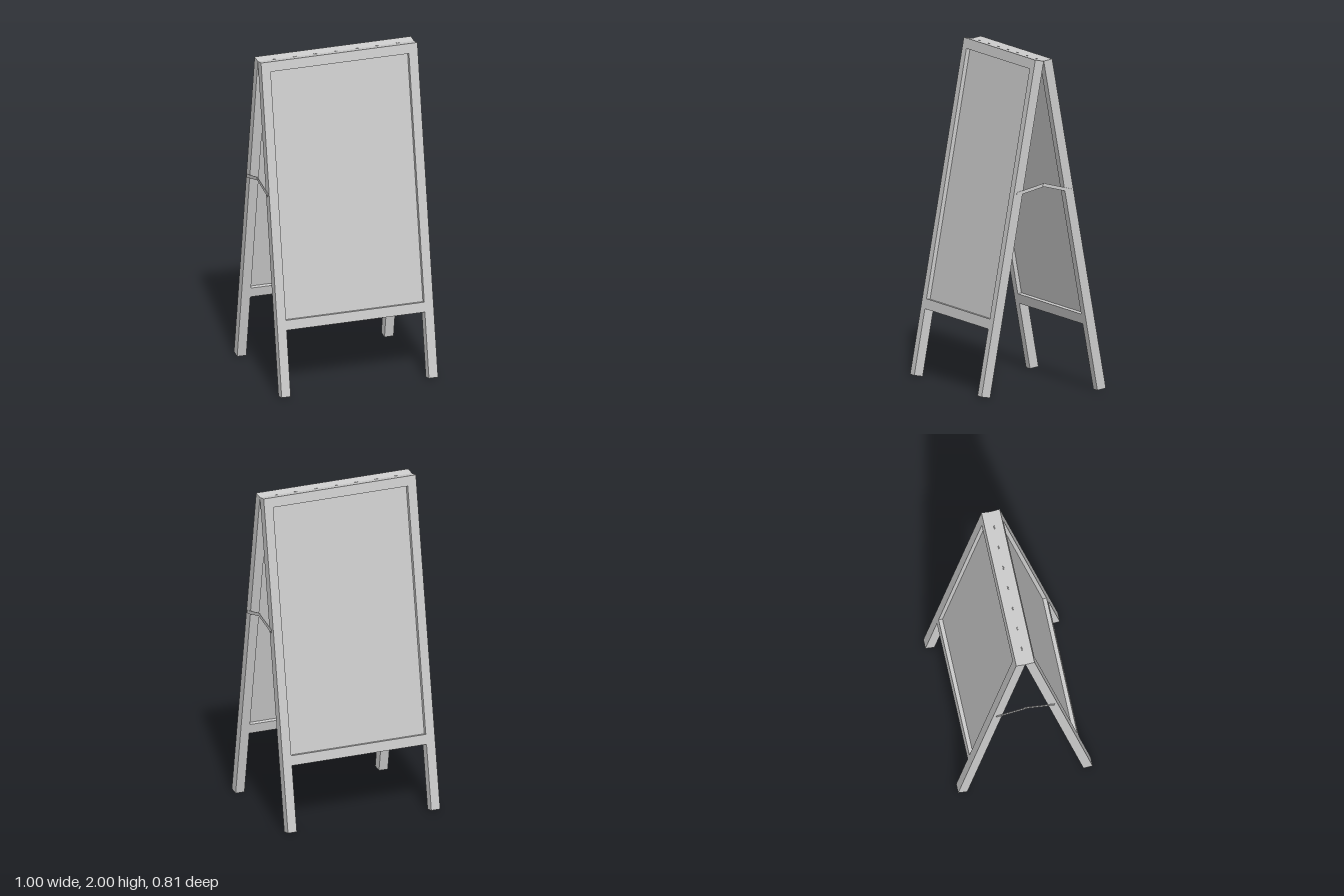
import * as THREE from 'three';

const TILT = THREE.MathUtils.degToRad(10);
const APEX = 1.99;      // height of the hinge line
const HALF = 0.492;     // half width of a leaf
const INNER = 0.435;    // half width between the posts
const THICK = 0.056;    // timber thickness
const LENGTH = 2.02;    // length of the posts
const RAIL_TOP = -1.56, RAIL_BOTTOM = -1.62, HEAD = -0.06;

const material = new THREE.MeshStandardMaterial({ color: 0xcccccc });

function part(name, geometry, x = 0, y = 0, z = 0) {
  const mesh = new THREE.Mesh(geometry, material);
  mesh.name = name;
  mesh.position.set(x, y, z);
  return mesh;
}

// One leaf: a frame with legs around a recessed writing panel, hanging from the hinge line
function createLeaf(name) {
  const leaf = new THREE.Group();
  leaf.name = name;

  const outline = new THREE.Shape([
    [-HALF, 0], [-HALF, -LENGTH], [-INNER, -LENGTH], [-INNER, RAIL_BOTTOM],
    [INNER, RAIL_BOTTOM], [INNER, -LENGTH], [HALF, -LENGTH], [HALF, 0],
  ].map(([x, y]) => new THREE.Vector2(x, y)));
  outline.holes.push(new THREE.Path([
    [-INNER, HEAD], [INNER, HEAD], [INNER, RAIL_TOP], [-INNER, RAIL_TOP],
  ].map(([x, y]) => new THREE.Vector2(x, y))));
  leaf.add(part('frame', new THREE.ExtrudeGeometry(outline, { depth: THICK, bevelEnabled: false })));

  const panelHeight = HEAD - RAIL_TOP;
  leaf.add(part('panel', new THREE.BoxGeometry(2 * INNER, panelHeight, 0.008),
    0, (HEAD + RAIL_TOP) / 2, THICK / 2));

  leaf.position.y = APEX;
  leaf.rotation.x = -TILT;
  return leaf;
}

// Folding stay: two thin bars overlapping at the middle joint
function createStay(side) {
  const stay = new THREE.Group();
  stay.name = side > 0 ? 'leftStay' : 'rightStay';
  const slope = 0.245;
  for (const dir of [1, -1]) {
    const x = side * (dir > 0 ? 0.494 : 0.497);
    const bar = part(dir > 0 ? 'frontStayBar' : 'backStayBar',
      new THREE.BoxGeometry(0.003, 0.02, 0.19), x, 1.2295, dir * 0.085);
    bar.rotation.x = dir * slope;
    stay.add(bar);
  }
  return stay;
}

export function createModel() {
  const model = new THREE.Group();
  model.name = 'sandwichBoard';

  const front = createLeaf('frontLeaf');
  const back = new THREE.Group();
  back.name = 'backLeafMount';
  back.rotation.y = Math.PI;
  back.add(createLeaf('backLeaf'));
  model.add(front, back);

  for (const side of [1, -1]) model.add(createStay(side));

  // Small hinge knuckles in the groove between the leaves
  const knuckle = new THREE.CylinderGeometry(0.003, 0.003, 0.02, 8).rotateZ(Math.PI / 2);
  for (let i = 0; i < 7; i++) {
    model.add(part('hingeKnuckle', knuckle, -0.39 + i * 0.13, APEX, 0));
  }
  return model;
}
